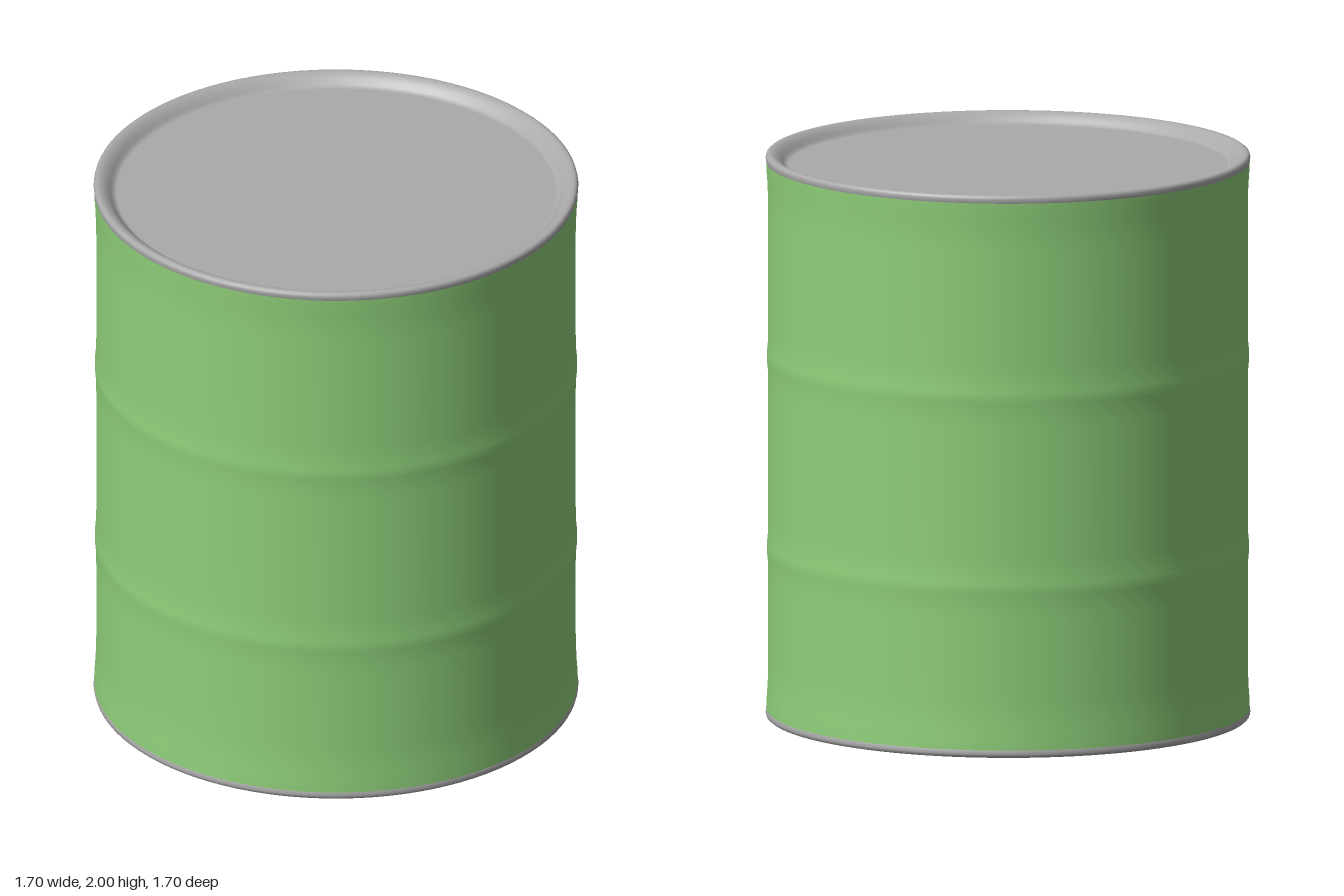
import * as THREE from 'three';

const SEGMENTS = 96;
const HEIGHT = 2;
const PANEL_RADIUS = 0.77;
const PANEL_DEPTH = 0.04;

// Turns [radius, y] pairs, listed bottom to top, into a smooth lathed mesh
function lathe(name, profile, material) {
  const geometry = new THREE.LatheGeometry(profile.map(([r, y]) => new THREE.Vector2(r, y)), SEGMENTS);
  geometry.normalizeNormals();
  const mesh = new THREE.Mesh(geometry, material);
  mesh.name = name;
  return mesh;
}

// Rolled rim with a flat recessed panel inside it, built facing up at y = 0
function createEnd(name, material) {
  const end = new THREE.Group();
  end.name = name;
  end.add(lathe(name + 'Rim', [
    [0.843, -0.035], [0.847, -0.025], [0.848, -0.014], [0.846, -0.006], [0.84, -0.001],
    [0.832, 0], [0.822, -0.002], [0.812, -0.007], [0.802, -0.014], [0.793, -0.023],
    [0.785, -0.032], [0.778, -0.038], [PANEL_RADIUS, -PANEL_DEPTH],
  ], material));
  const panel = new THREE.Mesh(new THREE.CircleGeometry(PANEL_RADIUS, SEGMENTS), material);
  panel.name = name + 'Panel';
  panel.rotation.x = -Math.PI / 2;
  panel.position.y = -PANEL_DEPTH;
  end.add(panel);
  return end;
}

export function createModel() {
  const model = new THREE.Group();
  model.name = 'barrel';
  const paint = new THREE.MeshStandardMaterial({ color: 0x8fcf7a, side: THREE.DoubleSide });
  const metal = new THREE.MeshStandardMaterial({ color: 0xaaaaaa, side: THREE.DoubleSide });

  // Body wall: flared at both ends, with two shallow rolling hoops
  const profile = [[0.846, 0.025], [0.845, 0.06], [0.842, 0.1], [0.84, 0.15], [0.839, 0.2]];
  for (const y of [0.6, 1.28]) {
    for (const [dy, bulge] of [[-0.1, 0], [-0.05, 0.001], [-0.02, 0.004], [0, 0.005], [0.02, 0.004], [0.05, 0.001], [0.1, 0]]) {
      profile.push([0.839 + bulge, y + dy]);
    }
  }
  profile.push([0.839, 1.8], [0.84, 1.85], [0.842, 1.9], [0.845, 1.94], [0.846, 1.975]);
  model.add(lathe('body', profile, paint));

  // Matching ends, the lower one turned over
  const top = createEnd('top', metal);
  top.position.y = HEIGHT;
  const bottom = createEnd('bottom', metal);
  bottom.rotation.x = Math.PI;
  model.add(top, bottom);
  return model;
}
